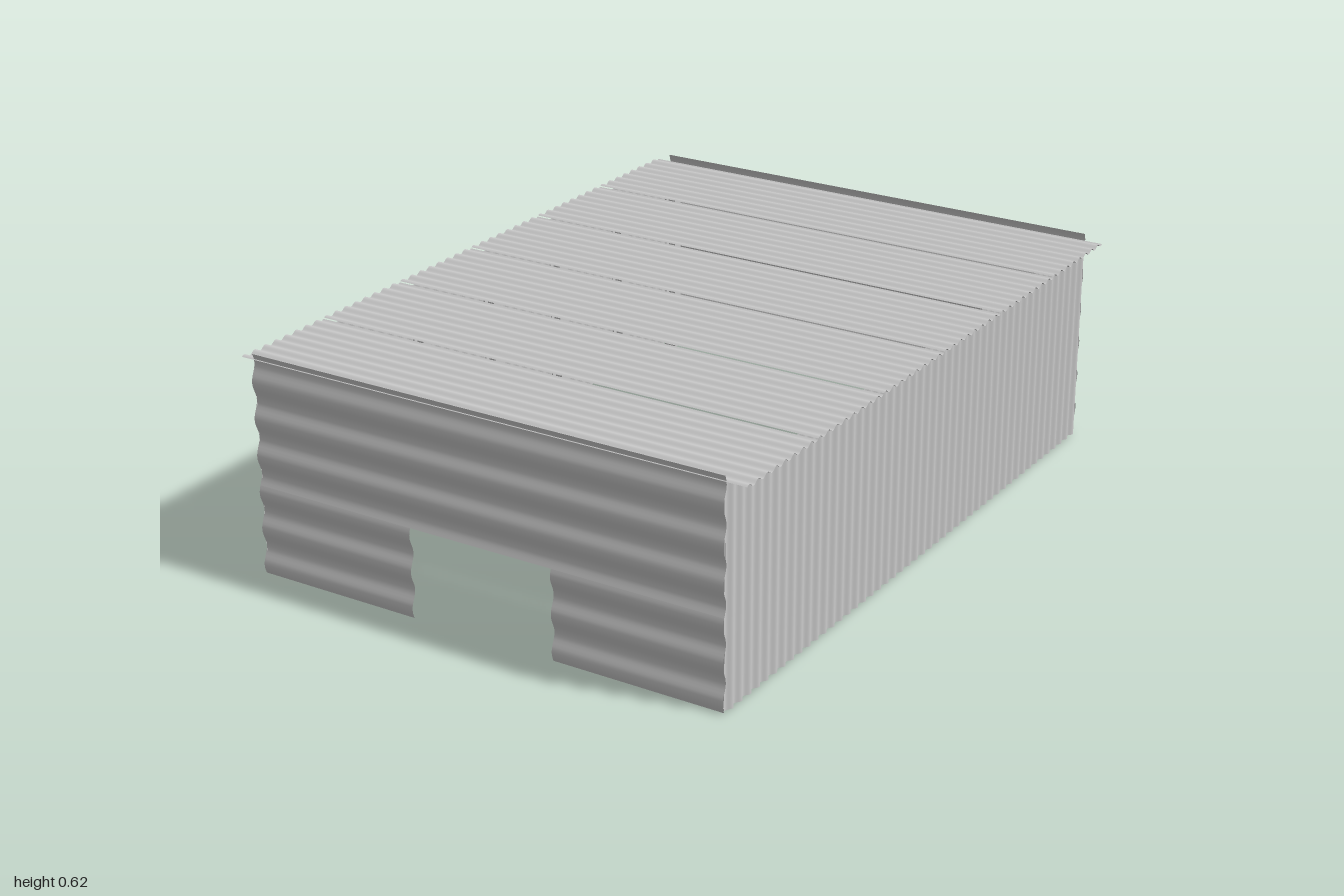
import * as THREE from 'three';

const sheetMat = new THREE.MeshStandardMaterial({ color: 0xcccccc, side: THREE.DoubleSide });
const steelMat = new THREE.MeshStandardMaterial({ color: 0xcccccc });

const X0 = -0.715, X1 = 0.7;          // side wall planes
const EAVE = 0.6, BAY = 0.33, BAYS = 6;
const TRUSS_Z = [-0.965, -BAY, BAY, 0.965];

// Thin sheet spanning a..b along x and c..d along y, rippled in z along y.
function corrugated(a, b, c, d, period, amp) {
  const rows = Math.ceil(((d - c) / period) * 12);
  const geo = new THREE.PlaneGeometry(b - a, d - c, 1, rows);
  geo.translate((a + b) / 2, (c + d) / 2, 0);
  const p = geo.attributes.position;
  for (let i = 0; i < p.count; i++) {
    p.setZ(i, amp * Math.sin((p.getY(i) / period) * Math.PI * 2));
  }
  geo.computeVertexNormals();
  return geo;
}

function add(parent, name, geo, mat) {
  const mesh = new THREE.Mesh(geo, mat);
  mesh.name = name;
  parent.add(mesh);
  return mesh;
}

function box(parent, name, w, h, d, x, y, z) {
  const mesh = add(parent, name, new THREE.BoxGeometry(w, h, d), steelMat);
  mesh.position.set(x, y, z);
  return mesh;
}

// Straight bar in the xy plane between two points
function bar(parent, name, xa, ya, xb, yb, t) {
  const len = Math.hypot(xb - xa, yb - ya);
  const mesh = box(parent, name, len, t, t, (xa + xb) / 2, (ya + yb) / 2, 0);
  mesh.rotation.z = Math.atan2(yb - ya, xb - xa);
}

// I-section column on a base plate; outward is the sign of its wall side
function column(outward) {
  const g = new THREE.Group();
  g.name = 'column';
  const depth = 0.036, h = EAVE - 0.008;
  for (const s of [-1, 1]) box(g, 'columnFlange', 0.004, h, 0.032, s * (depth / 2 - 0.002), h / 2, 0);
  box(g, 'columnWeb', depth - 0.008, h, 0.004, 0, h / 2, 0);
  box(g, 'basePlate', 0.04, 0.005, 0.036, 0, 0.0025, 0);
  g.position.x = outward > 0 ? X1 - 0.026 : X0 + 0.026;
  return g;
}

// Flat roof truss with verticals and alternating diagonals
function truss() {
  const g = new THREE.Group();
  g.name = 'roofTruss';
  const a = X0 + 0.044, b = X1 - 0.044, lo = 0.5, hi = 0.585, cells = 8;
  const step = (b - a) / cells;
  bar(g, 'topChord', a, hi, b, hi, 0.014);
  bar(g, 'bottomChord', a, lo, b, lo, 0.014);
  for (let i = 0; i <= cells; i++) {
    const x = a + i * step;
    bar(g, 'trussPost', x, lo, x, hi, 0.008);
    if (i < cells) {
      const up = i % 2 === 0;
      bar(g, 'trussDiagonal', x, up ? lo : hi, x + step, up ? hi : lo, 0.008);
    }
  }
  return g;
}

export function createModel() {
  const model = new THREE.Group();
  model.name = 'warehouse';

  // End walls with wide horizontal ripples; the front one leaves a doorway
  const endWall = { period: 0.104, amp: 0.007, top: 0.623 };
  const front = new THREE.Group();
  front.name = 'frontWall';
  front.position.z = 0.992;
  const doorL = -0.228, doorR = 0.204, doorTop = 0.255;
  for (const [name, a, b, c, d] of [
    ['frontWallRight', X0 - 0.004, doorL, 0, doorTop],
    ['frontWallLeft', doorR, X1, 0, doorTop],
    ['frontWallUpper', X0 - 0.004, X1, doorTop, endWall.top],
  ]) add(front, name, corrugated(a, b, c, d, endWall.period, endWall.amp), sheetMat);
  model.add(front);

  const back = add(model, 'backWall',
    corrugated(X0 - 0.004, X1, 0.006, endWall.top, endWall.period, endWall.amp), sheetMat);
  back.position.z = -0.992;

  // Roof and side walls, one narrow-ripple panel per bay
  const period = BAY / 8, amp = 0.005, gap = 0.003;
  for (let i = 0; i < BAYS; i++) {
    const za = -0.99 + i * BAY + gap / 2, zb = -0.99 + (i + 1) * BAY - gap / 2;
    const roof = add(model, 'roofPanel', corrugated(-0.757, 0.757, -zb, -za, period, amp), sheetMat);
    roof.rotation.x = -Math.PI / 2;
    roof.position.y = EAVE + 0.005;
    for (const x of [X0, X1]) {
      const geo = corrugated(0, EAVE, -zb, -za, period, amp);
      geo.rotateX(-Math.PI / 2).rotateZ(Math.PI / 2);
      add(model, 'sideWallPanel', geo, sheetMat).position.x = x;
    }
  }

  // Frame: columns at each panel joint and trusses across every second one
  for (let i = 0; i <= BAYS; i++) {
    const z = THREE.MathUtils.clamp((i - BAYS / 2) * BAY, -0.965, 0.965);
    for (const s of [-1, 1]) {
      const c = column(s);
      c.position.z = z;
      model.add(c);
    }
  }
  for (const z of TRUSS_Z) {
    const t = truss();
    t.position.z = z;
    model.add(t);
  }
  return model;
}
